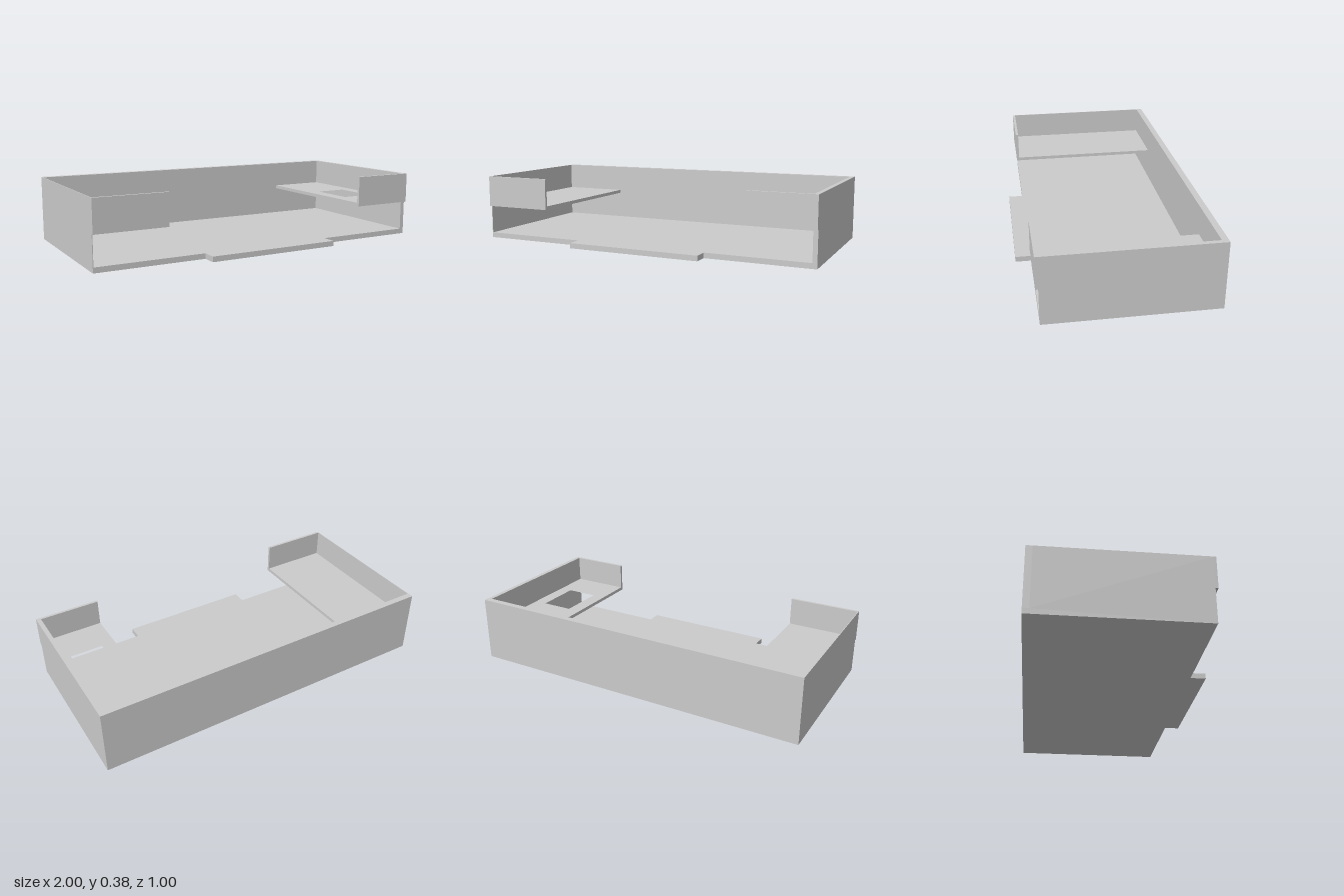
import * as THREE from 'three';

const material = new THREE.MeshStandardMaterial({ color: 0xcccccc, flatShading: true });

export function createModel() {
  const group = new THREE.Group();

  const add = (name, geometry) => {
    const mesh = new THREE.Mesh(geometry, material);
    mesh.name = name;
    group.add(mesh);
  };

  // Box given by its limits on each axis
  const box = (name, x0, x1, y0, y1, z0, z1) =>
    add(name, new THREE.BoxGeometry(x1 - x0, y1 - y0, z1 - z0)
      .translate((x0 + x1) / 2, (y0 + y1) / 2, (z0 + z1) / 2));

  // Horizontal slab from an outline of [x, z] points, with optional holes
  const slab = (name, y0, y1, outline, holes = []) => {
    const toPoints = (list) => list.map(([x, z]) => new THREE.Vector2(x, -z));
    const shape = new THREE.Shape(toPoints(outline));
    for (const hole of holes) shape.holes.push(new THREE.Path(toPoints(hole)));
    add(name, new THREE.ExtrudeGeometry(shape, { depth: y1 - y0, bevelEnabled: false })
      .rotateX(-Math.PI / 2).translate(0, y0, 0));
  };
  const rect = (x0, x1, z0, z1) => [[x0, z0], [x1, z0], [x1, z1], [x0, z1]];

  const top = 0.375, back = -0.5, inner = -0.465, front = 0.415, floorTop = 0.03;

  // Floor with a projecting front tab
  slab('floor', 0, floorTop, [
    [-1, back], [1, back], [1, front], [0.395, front], [0.395, 0.5],
    [-0.385, 0.5], [-0.385, front], [-1, front],
  ]);

  // Walls: the right-hand one is a thin sheet
  box('backWall', -1, 1, floorTop, top, back, inner);
  box('leftWall', 0.975, 1, floorTop, top, inner, front);
  box('rightWall', -1, -0.996, floorTop, top, inner, front);

  // Raised shelves, the left one with a rectangular opening
  box('rightShelf', -0.996, -0.595, 0.195, 0.215, inner, front);
  slab('leftShelf', 0.2, 0.22, rect(0.63, 0.975, inner, front), [rect(0.71, 0.9, -0.07, 0.2)]);

  // Upper front panels closing the shelves
  box('rightFrontPanel', -1, -0.595, 0.195, top, front, 0.43);
  box('leftFrontPanel', 0.63, 1, 0.2, top, front, 0.43);

  return group;
}
